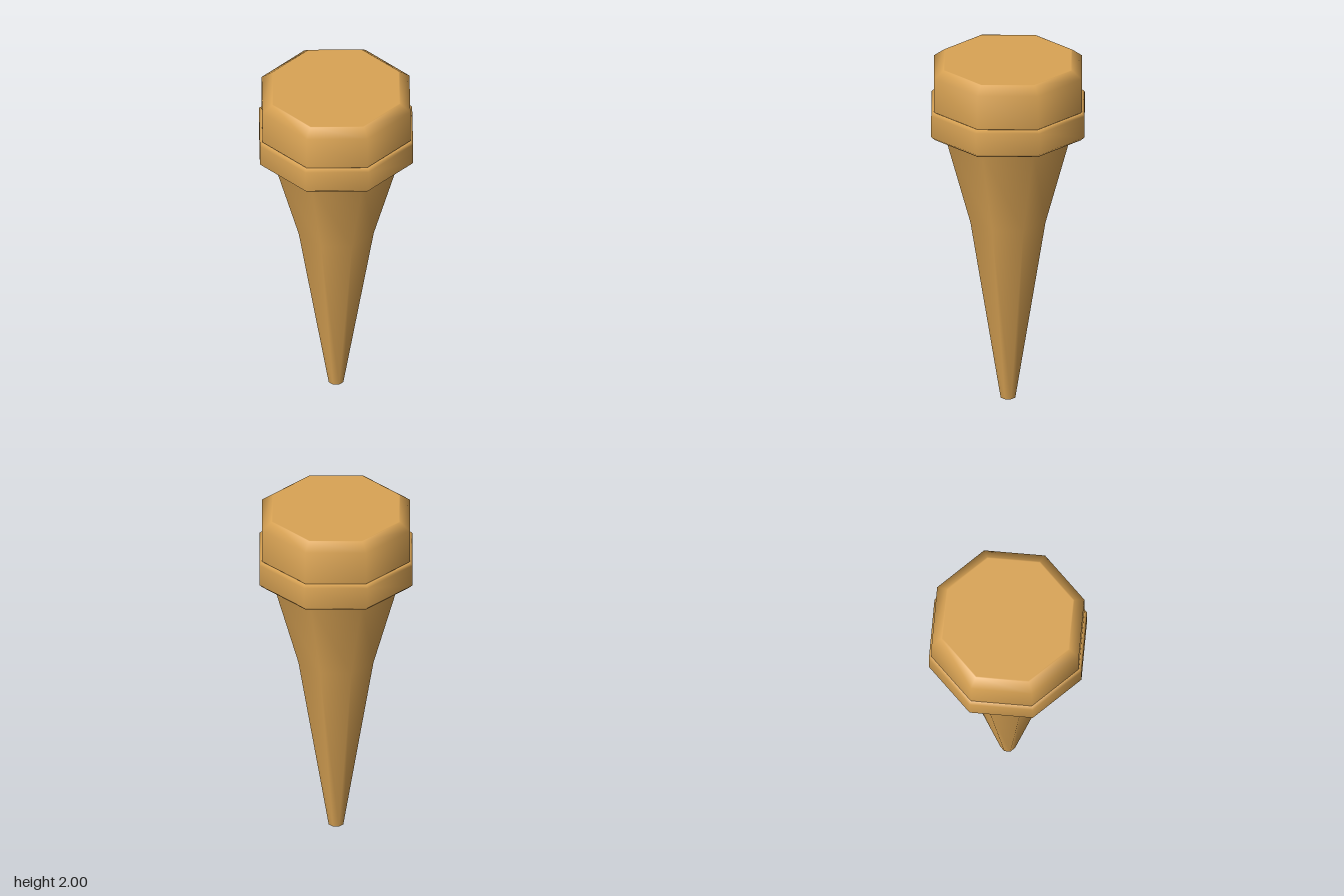
import * as THREE from 'three';

const SIDES = 8;
// Profiles give the distance to a flat side; the lathe needs the corner radius.
const TO_CORNER = 1 / Math.cos(Math.PI / SIDES);

export function createModel() {
  const group = new THREE.Group();
  group.name = 'taperedPeg';

  const wood = new THREE.MeshStandardMaterial({ color: 0xd9a354 });
  wood.name = 'warm wood';

  function addTurned(name, profile) {
    const points = profile.map(([r, y]) => new THREE.Vector2(r * TO_CORNER, y));
    const geometry = new THREE.LatheGeometry(points, SIDES, Math.PI / SIDES);
    const mesh = new THREE.Mesh(geometry, wood);
    mesh.name = name;
    group.add(mesh);
  }

  // Long shaft, flaring towards the collar
  addTurned('shaft', [[0.04, 0], [0.205, 1.07], [0.342, 1.6], [0.36, 1.67]]);

  // Flat end of the shaft
  const tip = new THREE.Mesh(new THREE.CircleGeometry(0.04 * TO_CORNER, SIDES, Math.PI / SIDES), wood);
  tip.name = 'tip';
  tip.rotation.x = Math.PI / 2;
  group.add(tip);

  // Bevelled collar with a shallow recess around the shaft
  addTurned('collar', [
    [0.35, 1.64], [0.375, 1.635], [0.38, 1.6], [0.4, 1.595], [0.419, 1.615],
    [0.419, 1.74], [0.405, 1.755], [0.37, 1.757],
  ]);

  // Head with a chamfered top
  addTurned('head', [
    [0.37, 1.75], [0.395, 1.752], [0.404, 1.762], [0.404, 1.957],
    [0.352, 2], [0.345, 2], [0, 2],
  ]);

  return group;
}
